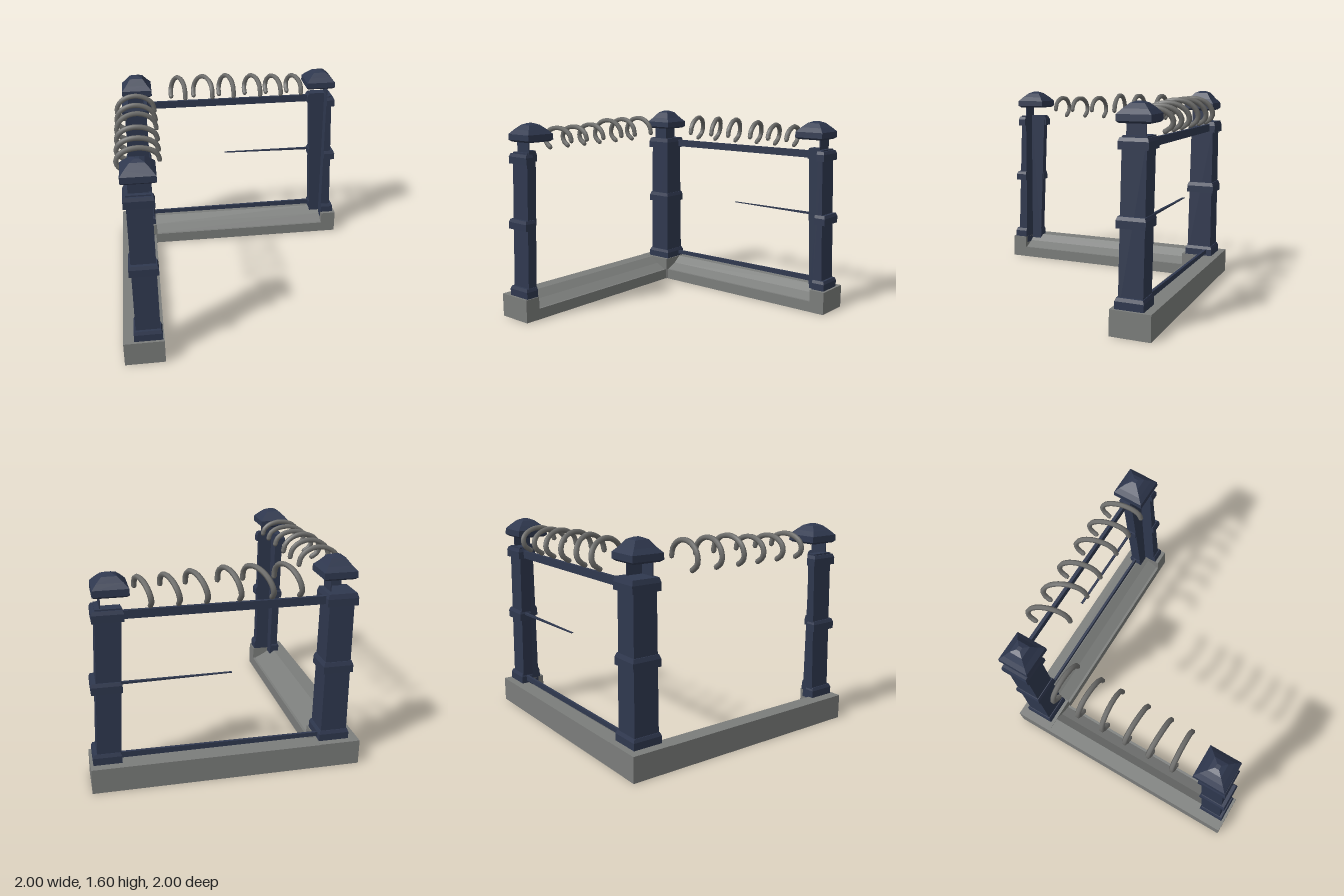
import * as THREE from 'three';

const navy = new THREE.MeshStandardMaterial({ color: 0x2f384f });
const stone = new THREE.MeshStandardMaterial({ color: 0x7b7d7b });
const wire = new THREE.MeshStandardMaterial({ color: 0x6f6f6d });
navy.name = 'navy paint'; stone.name = 'grey kerb'; wire.name = 'grey wire';

// Square-section loft; each section is [y, centreX, centreZ, halfX, halfZ]
function loft(sections) {
  const pos = [], idx = [];
  for (const [y, cx, cz, hx, hz = hx] of sections)
    pos.push(cx - hx, y, cz + hz, cx + hx, y, cz + hz, cx + hx, y, cz - hz, cx - hx, y, cz - hz);
  const last = (sections.length - 1) * 4;
  for (let s = 0; s < last; s += 4)
    for (let i = 0; i < 4; i++) {
      const a = s + i, b = s + (i + 1) % 4;
      idx.push(a, b, b + 4, a, b + 4, a + 4);
    }
  idx.push(0, 2, 1, 0, 3, 2, last, last + 1, last + 2, last, last + 2, last + 3);
  const g = new THREE.BufferGeometry()
    .setAttribute('position', new THREE.Float32BufferAttribute(pos, 3))
    .setIndex(idx).toNonIndexed();
  g.computeVertexNormals();
  return g;
}

const box = (x0, x1, y0, y1, z0, z1) =>
  new THREE.BoxGeometry(x1 - x0, y1 - y0, z1 - z0)
    .translate((x0 + x1) / 2, (y0 + y1) / 2, (z0 + z1) / 2);

// Mirror across the diagonal (swap x and z) and reverse the winding
function swapXZ(geometry) {
  const g = geometry.index ? geometry.toNonIndexed() : geometry;
  for (const name of ['position', 'normal']) {
    const a = g.attributes[name], old = a.array.slice();
    for (let i = 0; i < a.count; i++) {
      const j = i % 3 === 0 ? i : i % 3 === 1 ? i + 1 : i - 1;
      a.setXYZ(i, old[j * 3 + 2], old[j * 3 + 1], old[j * 3]);
    }
  }
  return g;
}

function add(group, name, geometry, material, mirrored = false) {
  const mesh = new THREE.Mesh(mirrored ? swapXZ(geometry) : geometry, material);
  mesh.name = name;
  group.add(mesh);
}

// Pillow-like pyramid cap
const cap = (x, z, y, h) => loft([
  [y, x, z, 0.105], [y + 0.015, x, z, 0.124], [y + 0.06, x, z, 0.122],
  [y + 0.095, x, z, 0.09], [y + h - 0.015, x, z, 0.052], [y + h, x, z, 0.016],
]);

const collar = (x, z, y0, y1, h) => loft([
  [y0, x, z, h], [y0 + 0.055, x, z, h], [y1, x, z, h - 0.01],
]);

// Open hoop of wire, leaning along the run from back to front
function hoop(x, centre, lean, scale) {
  const pts = [];
  for (let i = 0; i <= 9; i++) {
    const a = THREE.MathUtils.degToRad(232 - i * 26);
    pts.push(new THREE.Vector3(
      x + lean * 1.1 * (THREE.MathUtils.smoothstep(i, 1, 8) - 0.5),
      1.425 + Math.sin(a) * 0.125 * (Math.sin(a) > 0 ? scale : 0.7),
      centre + Math.cos(a) * 0.153));
  }
  const tube = new THREE.TubeGeometry(new THREE.CatmullRomCurve3(pts), 20, 0.02, 6);
  // Close both ends with small rounded tips
  const tips = [pts[0], pts[9]].map(p =>
    new THREE.SphereGeometry(0.02, 6, 4).translate(p.x, p.y, p.z));
  return [tube, ...tips];
}

// One side of the enclosure: kerb, end post centred on z, and wire hoops
function makeSide(name, mirrored, z, hoops) {
  const side = new THREE.Group();
  side.name = name;
  const part = (n, g, m) => add(side, n, g, m, mirrored);

  // Kerb with a low inner lip sloping up to the outer edge
  const profile = new THREE.Shape([[0.7, 0], [1, 0], [1, 0.19], [0.88, 0.19], [0.81, 0.135],
    [0.72, 0.09], [0.7, 0.09]].map(p => new THREE.Vector2(...p)));
  part('kerb', new THREE.ExtrudeGeometry(profile, { depth: 1.58, bevelEnabled: false })
    .rotateY(Math.PI / 2).translate(-0.7, 0, 0), stone);
  part('kerbEnd', box(0.87, 1, 0, 0.19, -1, -0.7), stone);

  // Leaning post, its inner front quarter cut away; levels are [y, innerX, outerX, halfDepth]
  const notched = (n, cut, levels) => {
    part(n + 'Outer', loft(levels.map(([y, , x1, h]) =>
      [y, (0.87 + x1) / 2, z, (x1 - 0.87) / 2, h])), navy);
    part(n + 'Inner', loft(levels.map(([y, x0, , h]) =>
      [y, (0.87 + x0) / 2, (cut + z - h) / 2, (0.87 - x0) / 2, (cut - z + h) / 2])), navy);
  };
  notched('endPost', -0.84, [[0.13, 0.783, 0.955, 0.09], [1.35, 0.735, 0.912, 0.088]]);
  for (const [n, y0, y1, x0, x1, h] of [['bottomCollar', 0.19, 0.27, 0.773, 0.98, 0.105],
    ['middleCollar', 0.74, 0.82, 0.75, 0.967, 0.106], ['topCollar', 1.26, 1.34, 0.72, 0.938, 0.108]])
    notched(n, -0.845, [[y0, x0, x1, h], [y0 + 0.055, x0, x1, h], [y1, x0 + 0.01, x1 - 0.01, h - 0.01]]);
  part('neck', box(0.872, 0.88, 1.33, 1.45, z - 0.07, z + 0.07), navy);
  part('postCap', cap(0.803, z + 0.005, 1.43, 0.145), navy);

  for (const [x, lean, scale] of hoops)
    for (const g of hoop(x, z + 0.008, lean, scale)) part('wireHoop', g, wire);
  return side;
}

// Tapered rail along x, lofted upright and then laid down
function rail(x0, y0, h0, x1, y1, h1) {
  const g = loft([[0, y0, 0, h0, 0.01], [x1 - x0, y1, 0, h1, 0.01]]);
  const p = g.attributes.position;
  for (let i = 0; i < p.count; i++) p.setXYZ(i, x0 + p.getY(i), p.getX(i), -0.89 - p.getZ(i));
  g.computeVertexNormals();
  return g;
}

export function createModel() {
  const model = new THREE.Group();
  model.name = 'cornerFence';

  model.add(makeSide('backSide', false, -0.835, [[-0.44, 0.1, 1], [-0.225, 0.13, 1],
    [-0.02, 0.09, 1], [0.21, 0.09, 0.9], [0.395, 0.08, 0.8], [0.58, 0.07, 0.75]]));
  model.add(makeSide('rightSide', true, -0.815, [[-0.44, 0.01, 1], [-0.23, 0.01, 1],
    [-0.045, -0.02, 1], [0.155, 0.01, 0.8], [0.345, 0.01, 0.75], [0.525, -0.01, 0.75]]));

  // Corner block and post
  const corner = new THREE.Group();
  corner.name = 'corner';
  const x = -0.813, z = -0.832;
  add(corner, 'cornerBlock', box(-1, -0.69, 0, 0.192, -1, -0.69), stone);
  add(corner, 'cornerPost', loft([[0.18, x, z, 0.1], [1.3, x, z, 0.092]]), navy);
  add(corner, 'bottomCollar', collar(x, z, 0.19, 0.27, 0.115), navy);
  add(corner, 'middleCollar', collar(x, z, 0.74, 0.825, 0.112), navy);
  add(corner, 'topCollar', collar(x, z, 1.255, 1.345, 0.114), navy);
  add(corner, 'neckFront', box(-0.87, -0.74, 1.33, 1.46, -0.748, -0.74), navy);
  add(corner, 'neckSide', box(-0.748, -0.74, 1.33, 1.46, -0.87, -0.74), navy);
  add(corner, 'postCap', cap(-0.79, -0.81, 1.44, 0.16), navy);
  model.add(corner);

  // Rails along the back, the middle one broken to a point
  const rails = new THREE.Group();
  rails.name = 'rails';
  add(rails, 'topRail', box(-0.74, 0.76, 1.265, 1.325, -0.9, -0.875), navy);
  add(rails, 'bottomRail', rail(-0.72, 0.228, 0.016, 0.8, 0.232, 0.022), navy);
  add(rails, 'brokenRail', rail(-0.03, 0.802, 0.002, 0.8, 0.795, 0.009), navy);
  model.add(rails);

  return model;
}
